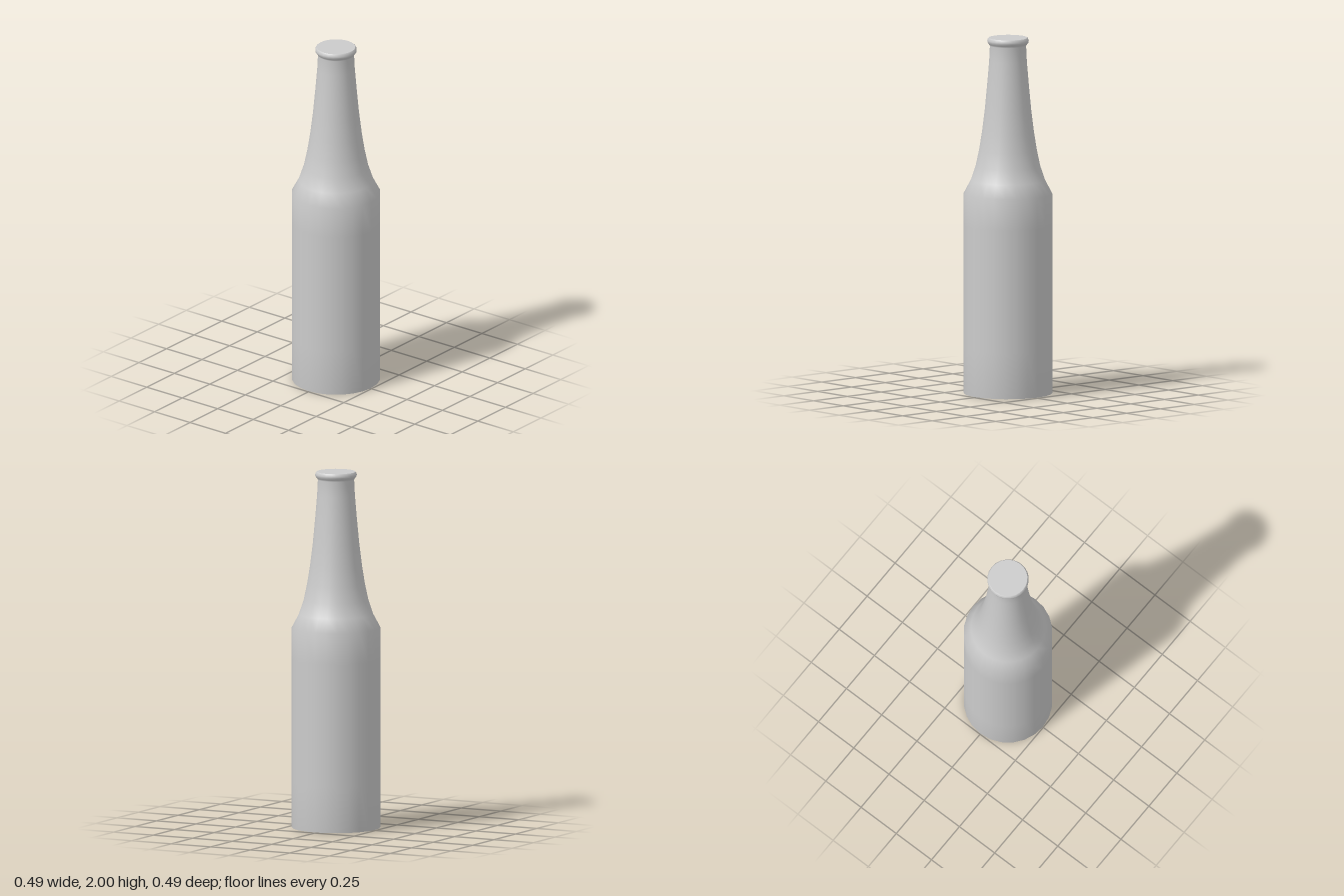
import * as THREE from 'three';

const SIDES = 24;
const material = new THREE.MeshStandardMaterial({ color: 0xcccccc });

// Smooth surface of revolution from [radius, height] pairs, listed bottom to top
function turned(name, profile) {
  const points = profile.map(([r, y]) => new THREE.Vector2(r, y));
  const mesh = new THREE.Mesh(new THREE.LatheGeometry(points, SIDES), material);
  mesh.name = name;
  return mesh;
}

export function createModel() {
  const group = new THREE.Group();
  group.name = 'bottle';

  // Flat base, straight body, and shoulder sweeping up into the neck and lip
  group.add(turned('bottleBody', [
    [0, 0], [0.225, 0], [0.247, 0.003],
    [0.247, 0.26], [0.247, 0.95], [0.247, 1.125],
    [0.207, 1.2], [0.18, 1.28], [0.161, 1.37], [0.145, 1.47],
    [0.129, 1.6], [0.115, 1.75], [0.105, 1.87], [0.101, 1.955],
    [0.108, 1.965], [0.115, 1.975], [0.116, 1.985], [0.112, 1.996], [0.108, 2],
  ]));

  // Flat closed mouth
  group.add(turned('mouthCap', [[0.108, 2], [0, 2]]));

  return group;
}
